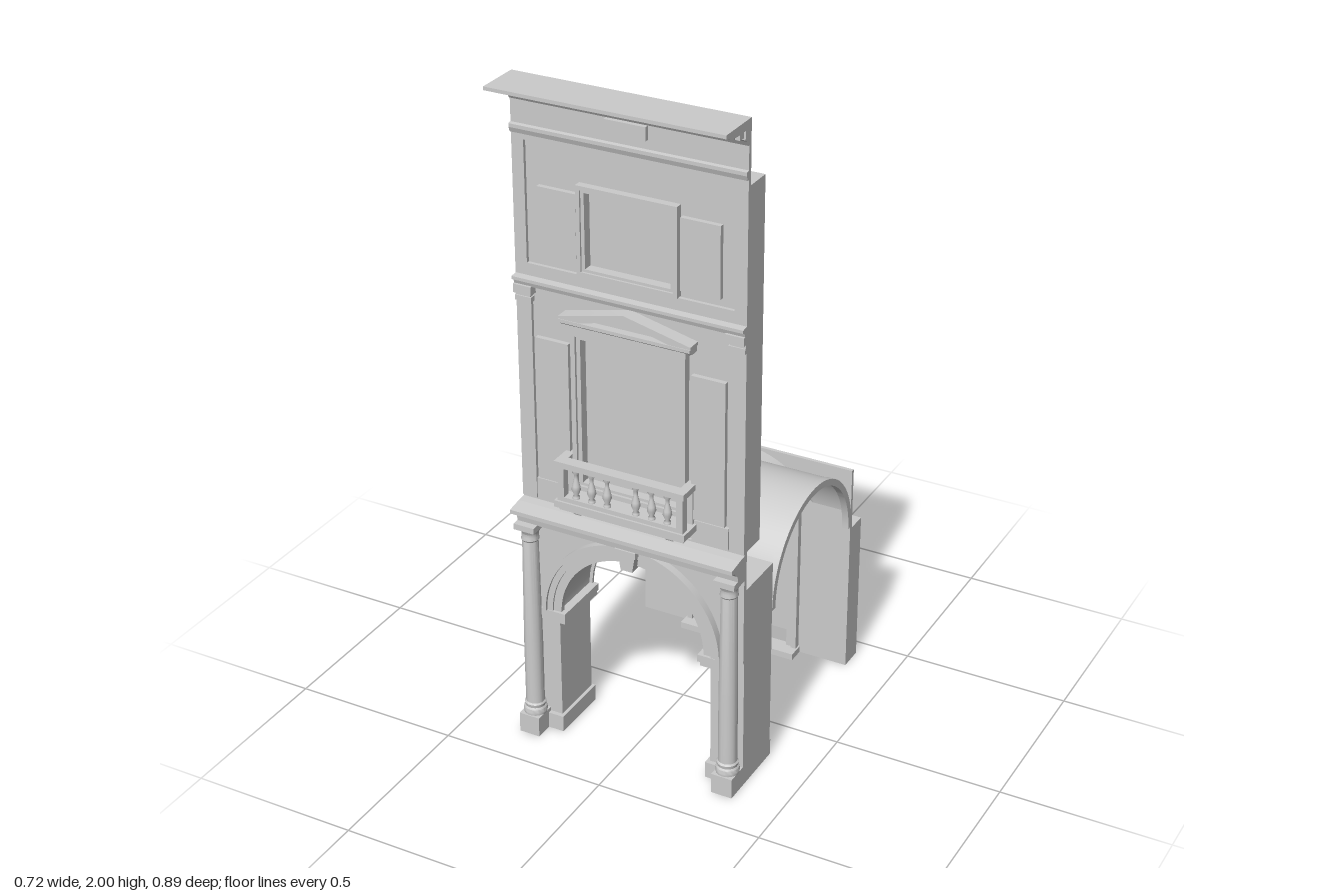
import * as THREE from 'three';
import { toCreasedNormals } from 'three/addons/utils/BufferGeometryUtils.js';

const MAT = new THREE.MeshStandardMaterial({ color: 0xcccccc });
const MAT2 = new THREE.MeshStandardMaterial({ color: 0xcccccc, side: THREE.DoubleSide });
const X0 = -0.33, X1 = 0.355, C = 0.0125; // bay edges and centre line

export function createModel() {
  const root = new THREE.Group();

  const add = (name, geo, mat = MAT) => {
    const m = new THREE.Mesh(geo, mat);
    m.name = name;
    root.add(m);
    return m;
  };
  const box = (name, x0, x1, y0, y1, z0, z1) =>
    add(name, new THREE.BoxGeometry(x1 - x0, y1 - y0, z1 - z0)
      .translate((x0 + x1) / 2, (y0 + y1) / 2, (z0 + z1) / 2));
  // the same box on both sides of the centre line; d = distance from it
  const pair = (name, d0, d1, ...r) => {
    box(name, C + d0, C + d1, ...r);
    box(name, C - d1, C - d0, ...r);
  };
  const extrude = (name, shape, z0, z1) => {
    const g = new THREE.ExtrudeGeometry(shape, { depth: z1 - z0, bevelEnabled: false, curveSegments: 28 });
    return add(name, toCreasedNormals(g.translate(0, 0, z0), 0.5));
  };
  const poly = (pts) => new THREE.Shape(pts.map((p) => new THREE.Vector2(p[0], p[1])));
  const rect = (x0, x1, y0, y1) => poly([[x0, y0], [x1, y0], [x1, y1], [x0, y1]]);
  // moulding: [z, y] profile swept along x
  const moulding = (name, pts, x0 = X0, x1 = X1) => {
    const g = new THREE.ExtrudeGeometry(poly(pts), { depth: x1 - x0, bevelEnabled: false });
    return add(name, g.rotateY(-Math.PI / 2).translate(x1, 0, 0));
  };
  // arched outline: legs from y0 to the spring line ys, then a half circle
  const arched = (r, y0, ys) => {
    const s = new THREE.Shape();
    s.moveTo(C + r, y0);
    s.lineTo(C + r, ys);
    s.absarc(C, ys, r, 0, Math.PI, false);
    s.lineTo(C - r, y0);
    return s;
  };
  // band following an arch, with optional legs
  const archBand = (name, r0, r1, y0, ys, z0, z1) => {
    const s = new THREE.Shape();
    s.moveTo(C + r1, y0);
    s.lineTo(C + r1, ys);
    s.absarc(C, ys, r1, 0, Math.PI, false);
    s.lineTo(C - r1, y0);
    s.lineTo(C - r0, y0);
    s.lineTo(C - r0, ys);
    s.absarc(C, ys, r0, Math.PI, 0, true);
    s.lineTo(C + r0, y0);
    extrude(name, s, z0, z1);
  };
  // flat wall with an arch cut up from its lower edge
  const archWall = (name, r, y0, ys, y1, z0, z1) => {
    const s = new THREE.Shape();
    s.moveTo(X0, y0);
    s.lineTo(C - r, y0);
    s.lineTo(C - r, ys);
    s.absarc(C, ys, r, Math.PI, 0, true);
    s.lineTo(C + r, y0);
    s.lineTo(X1, y0);
    s.lineTo(X1, y1);
    s.lineTo(X0, y1);
    extrude(name, s, z0, z1);
  };
  // half-cylinder soffit, open below
  const soffit = (name, r, ys, z0, z1) => add(name,
    new THREE.CylinderGeometry(r, r, z1 - z0, 32, 1, true, Math.PI / 2, Math.PI)
      .rotateX(Math.PI / 2).translate(C, ys, (z0 + z1) / 2), MAT2);
  const frame = (name, x0, x1, y0, y1, t, z0, z1) => {
    const s = rect(x0, x1, y0, y1);
    s.holes.push(rect(x0 + t, x1 - t, y0 + t, y1 - t));
    return extrude(name, s, z0, z1);
  };
  const keystone = (name, y0, y1, w0, w1, z0, z1) =>
    extrude(name, poly([[C - w0, y0], [C + w0, y0], [C + w1, y1], [C - w1, y1]]), z0, z1);

  // front arcade: piers, imposts, arch
  pair('pier', 0.24, 0.3425, 0, 0.64, 0.145, 0.312);
  pair('pierBase', 0.23, 0.3425, 0, 0.05, 0.14, 0.325);
  pair('impost', 0.215, 0.285, 0.372, 0.388, 0.145, 0.328);
  pair('impostCap', 0.21, 0.29, 0.388, 0.41, 0.145, 0.335);
  soffit('frontArchSoffit', 0.235, 0.41, 0.145, 0.312);
  archWall('frontSpandrel', 0.235, 0.41, 0.41, 0.76, 0.305, 0.318);
  archWall('rearSpandrel', 0.225, 0.41, 0.41, 0.64, 0.145, 0.153);
  archBand('archivoltInner', 0.225, 0.25, 0.41, 0.41, 0.31, 0.327);
  archBand('archivoltMiddle', 0.25, 0.268, 0.41, 0.41, 0.31, 0.333);
  archBand('archivoltOuter', 0.268, 0.28, 0.41, 0.41, 0.31, 0.341);
  keystone('frontKeystone', 0.625, 0.675, 0.018, 0.026, 0.3, 0.352);
  box('frontKeystoneCap', C - 0.032, C + 0.032, 0.675, 0.693, 0.3, 0.36);

  // engaged columns
  const column = [[0.001, 0.06], [0.033, 0.06], [0.035, 0.07], [0.033, 0.08], [0.029, 0.085], [0.031, 0.095],
    [0.027, 0.1], [0.027, 0.3], [0.023, 0.635], [0.026, 0.64], [0.024, 0.65], [0.024, 0.66], [0.032, 0.675], [0.001, 0.675]]
    .map((p) => new THREE.Vector2(p[0], p[1]));
  for (const s of [-1, 1]) {
    const x = C + s * 0.3105;
    add('column', toCreasedNormals(new THREE.LatheGeometry(column, 24), 0.5)).position.set(x, 0, 0.343);
    box('columnPlinth', x - 0.032, x + 0.032, 0, 0.062, 0.305, 0.38);
    box('columnAbacus', x - 0.032, x + 0.032, 0.675, 0.693, 0.305, 0.377);
  }
  moulding('lowerEntablature', [[0.31, 0.692], [0.355, 0.692], [0.358, 0.712], [0.365, 0.716],
    [0.375, 0.728], [0.392, 0.733], [0.392, 0.745], [0.345, 0.752], [0.31, 0.755]]);

  // cross vault: a barrel along x, cut by an arched lunette front and back
  const N = 72, zc = -0.115, R = 0.257, V0 = -0.36;
  const vault = new THREE.PlaneGeometry(1, 1, N, N);
  const p = vault.attributes.position;
  for (let i = 0; i < p.count; i++) {
    const a = (0.5 - p.getY(i)) * Math.PI, x = V0 + (p.getX(i) + 0.5) * (X1 - V0);
    const barrel = 0.482 + R * Math.cos(a);
    const d = 0.24 * 0.24 - (x - C) * (x - C);
    const lunette = d > 0 ? 0.425 + Math.sqrt(d) : 0;
    p.setXYZ(i, x, Math.max(barrel - 0.0, lunette), zc + R * Math.sin(a));
  }
  // parameter runs from -90 to 90 degrees across the span
  for (let i = 0; i < p.count; i++) {
    const row = Math.floor(i / (N + 1)), a = (row / N - 0.5) * Math.PI;
    const x = p.getX(i), d = 0.24 * 0.24 - (x - C) * (x - C);
    p.setY(i, Math.max(0.482 + R * Math.cos(a), d > 0 ? 0.425 + Math.sqrt(d) : 0));
    p.setZ(i, zc + R * Math.sin(a));
  }
  vault.computeVertexNormals();
  add('crossVault', vault, MAT2);
  const rib = new THREE.Shape();
  rib.absarc(zc, 0.482, R + 0.002, 0, Math.PI, false);
  rib.absarc(zc, 0.482, R - 0.018, Math.PI, 0, true);
  for (const [x0, x1] of [[V0, -0.305], [0.335, X1]]) {
    const g = new THREE.ExtrudeGeometry(rib, { depth: x1 - x0, bevelEnabled: false, curveSegments: 36 });
    add('vaultEndRib', toCreasedNormals(g.rotateY(-Math.PI / 2).translate(x1, 0, 0), 0.5));
  }

  // rear wall with arched doorway
  pair('rearPier', 0.153, 0.3425, 0, 0.475, -0.443, -0.367);
  archWall('rearWall', 0.153, 0.47, 0.47, 0.67, -0.378, -0.367);
  soffit('doorSoffit', 0.153, 0.47, -0.445, -0.367);
  extrude('doorPanel', arched(0.153, 0.02, 0.47), -0.44, -0.432);
  box('doorTransom', C - 0.153, C + 0.153, 0.468, 0.485, -0.435, -0.422);
  archBand('doorArchitraveInner', 0.15, 0.168, 0.02, 0.47, -0.37, -0.355);
  archBand('doorArchitraveOuter', 0.168, 0.185, 0.02, 0.47, -0.37, -0.348);
  box('doorStep', C - 0.19, C + 0.19, 0, 0.02, -0.37, -0.315);
  keystone('rearKeystone', 0.622, 0.672, 0.02, 0.029, -0.386, -0.357);

  // upper storeys: thick wall with two window openings
  const wall = rect(X0, X1, 0.76, 1.82);
  wall.holes.push(rect(C - 0.153, C + 0.153, 0.85, 1.29), rect(C - 0.127, C + 0.127, 1.49, 1.71));
  extrude('upperWall', wall, 0.23, 0.312);
  box('lowerWindowPane', C - 0.155, C + 0.155, 0.85, 1.29, 0.294, 0.3);
  box('upperWindowPane', C - 0.13, C + 0.13, 1.48, 1.72, 0.294, 0.3);

  // first storey dressing
  pair('sidePanel', 0.185, 0.285, 0.83, 1.26, 0.31, 0.326);
  pair('panelPlinth', 0.185, 0.295, 0.76, 0.825, 0.31, 0.322);
  pair('pilaster', 0.297, 0.3425, 0.76, 1.36, 0.31, 0.322);
  pair('pilasterNeck', 0.293, 0.3425, 1.36, 1.375, 0.31, 0.33);
  pair('pilasterCapital', 0.288, 0.3425, 1.385, 1.41, 0.31, 0.338);
  pair('pilasterCapitalNeck', 0.297, 0.3425, 1.375, 1.385, 0.31, 0.326);
  moulding('storeyCornice', [[0.31, 1.408], [0.33, 1.408], [0.334, 1.42], [0.343, 1.425], [0.343, 1.434], [0.31, 1.438]]);
  frame('windowFrameOuter', C - 0.172, C + 0.172, 0.83, 1.31, 0.014, 0.305, 0.336);
  frame('windowFrameInner', C - 0.158, C + 0.158, 0.84, 1.298, 0.012, 0.3, 0.328);
  box('windowFrieze', C - 0.175, C + 0.175, 1.31, 1.328, 0.31, 0.338);
  moulding('pedimentBase', [[0.31, 1.328], [0.34, 1.328], [0.355, 1.338], [0.355, 1.348], [0.31, 1.348]], C - 0.195, C + 0.195);
  extrude('pedimentField', poly([[C - 0.18, 1.346], [C + 0.18, 1.346], [C, 1.388]]), 0.31, 0.332);
  extrude('pedimentRake', poly([[C - 0.197, 1.346], [C - 0.14, 1.346], [C, 1.381], [C + 0.14, 1.346],
    [C + 0.197, 1.346], [C + 0.197, 1.355], [C, 1.4], [C - 0.197, 1.355]]), 0.31, 0.353);

  // balcony
  box('balconyFloor', C - 0.2, C + 0.2, 0.795, 0.815, 0.31, 0.392);
  box('balconyFloorMoulding', C - 0.19, C + 0.19, 0.783, 0.795, 0.31, 0.38);
  box('balconyBottomRail', C - 0.192, C + 0.192, 0.815, 0.828, 0.362, 0.386);
  box('balconyTopRail', C - 0.198, C + 0.198, 0.92, 0.938, 0.358, 0.392);
  pair('balconySideRail', 0.172, 0.198, 0.92, 0.938, 0.31, 0.36);
  pair('balconyPost', 0.172, 0.192, 0.815, 0.922, 0.362, 0.386);
  pair('balconyWallPost', 0.172, 0.192, 0.815, 0.922, 0.31, 0.33);
  const bracket = [[0.31, 0.745], [0.33, 0.75], [0.345, 0.768], [0.368, 0.772], [0.374, 0.785], [0.31, 0.785]];
  for (const s of [-1, 1]) moulding('balconyBracket', bracket, C + s * 0.142 - 0.011, C + s * 0.142 + 0.011);
  const baluster = new THREE.LatheGeometry([[0.01, 0.826], [0.01, 0.834], [0.006, 0.838], [0.013, 0.856],
    [0.011, 0.868], [0.0055, 0.89], [0.0055, 0.902], [0.01, 0.908], [0.01, 0.922]]
    .map((q) => new THREE.Vector2(q[0], q[1])), 12);
  for (const x of [-0.14, -0.092, -0.044, 0.044, 0.092, 0.14])
    add('baluster', baluster).position.set(C + x, 0, 0.374);

  // top storey dressing
  frame('wallPanelBorder', X0, X1, 1.436, 1.86, 0.036, 0.31, 0.322);
  pair('topSidePanel', 0.153, 0.268, 1.495, 1.7, 0.31, 0.326);
  frame('topWindowFrameOuter', C - 0.148, C + 0.148, 1.475, 1.73, 0.012, 0.305, 0.334);
  frame('topWindowFrameInner', C - 0.138, C + 0.138, 1.483, 1.722, 0.012, 0.3, 0.328);

  // crowning frieze and cornice
  box('frieze', X0, X1, 1.82, 1.985, 0.31, 0.322);
  moulding('friezeBand', [[0.31, 1.838], [0.328, 1.838], [0.333, 1.852], [0.333, 1.862], [0.31, 1.866]]);
  moulding('bedMoulding', [[0.31, 1.93], [0.326, 1.93], [0.335, 1.944], [0.342, 1.95], [0.342, 1.978], [0.31, 1.978]]);
  moulding('topCornice', [[0.31, 1.975], [0.385, 1.975], [0.42, 1.979], [0.43, 1.984], [0.445, 1.99], [0.445, 2], [0.31, 2]]);
  for (let i = 0; i < 26; i++) {
    const x = X0 + 0.006 + i * 0.0264;
    box('dentil', x, x + 0.014, 1.955, 1.976, 0.335, 0.362);
  }
  box('friezeTablet', C - 0.06, C + 0.06, 1.89, 1.928, 0.315, 0.335);

  return root;
}
